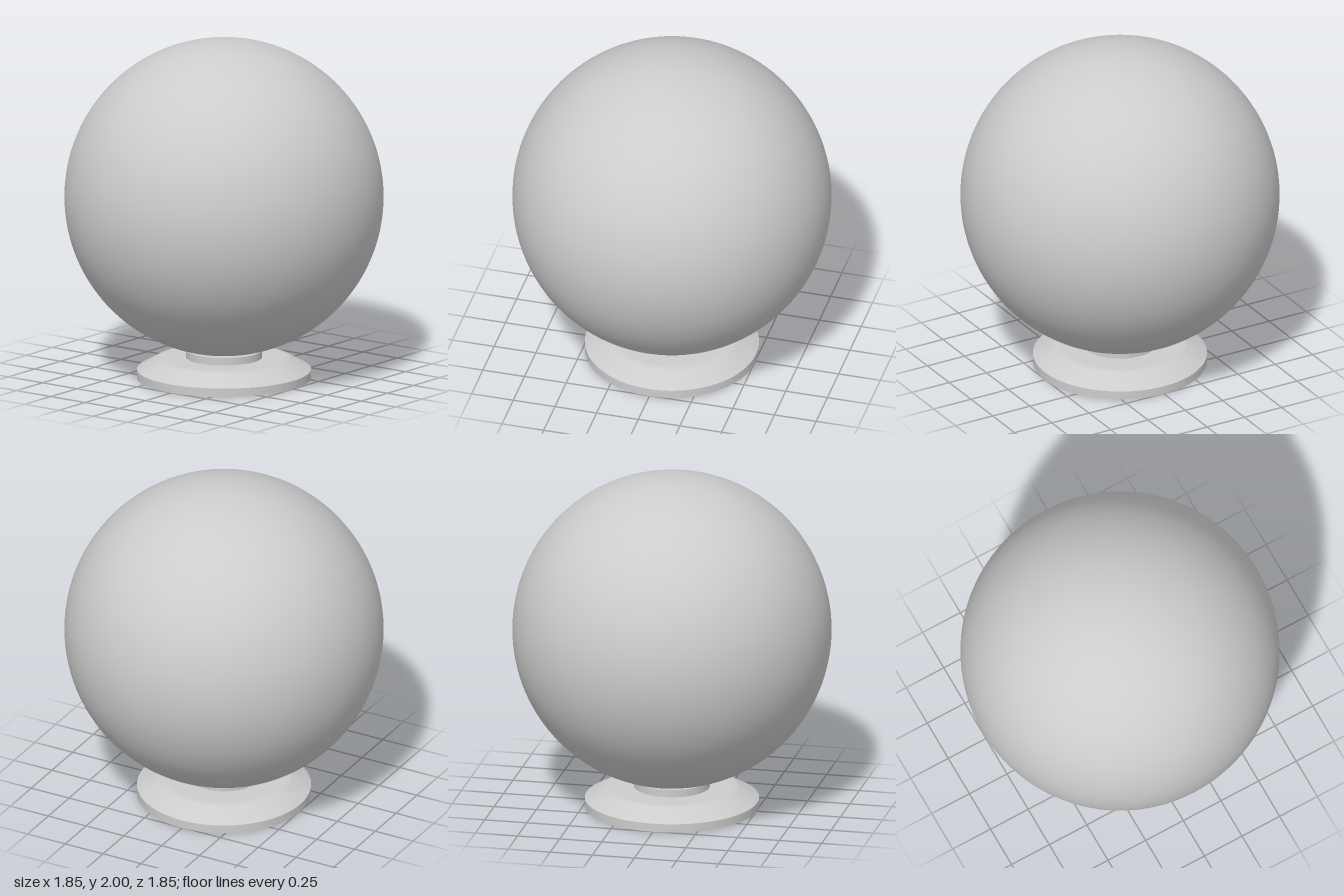
import * as THREE from 'three';

export function createModel() {
  const model = new THREE.Group();
  const grey = new THREE.MeshStandardMaterial({ color: 0xcccccc });
  grey.name = 'light grey';

  const add = (name, geometry, y = 0) => {
    const mesh = new THREE.Mesh(geometry, grey);
    mesh.name = name;
    mesh.position.y = y;
    model.add(mesh);
  };
  const SEGMENTS = 96;

  // Large smooth globe
  add('globe', new THREE.SphereGeometry(0.925, SEGMENTS, 64), 1.075);

  // Short neck under the globe
  add('neck', new THREE.CylinderGeometry(0.22, 0.22, 0.055, SEGMENTS), 0.1375);

  // Foot disc with a crisp upper rim
  add('footDisc', new THREE.CylinderGeometry(0.505, 0.505, 0.05, SEGMENTS), 0.025);

  // Sloping foot top with a softly rounded shoulder
  const profile = [
    [0.505, 0.05], [0.45, 0.081], [0.394, 0.112], [0.381, 0.117],
    [0.365, 0.12], [0.345, 0.121], [0.2, 0.121], [0, 0.121],
  ].map(([r, y]) => new THREE.Vector2(r, y));
  add('footSlope', new THREE.LatheGeometry(profile, SEGMENTS));

  return model;
}
